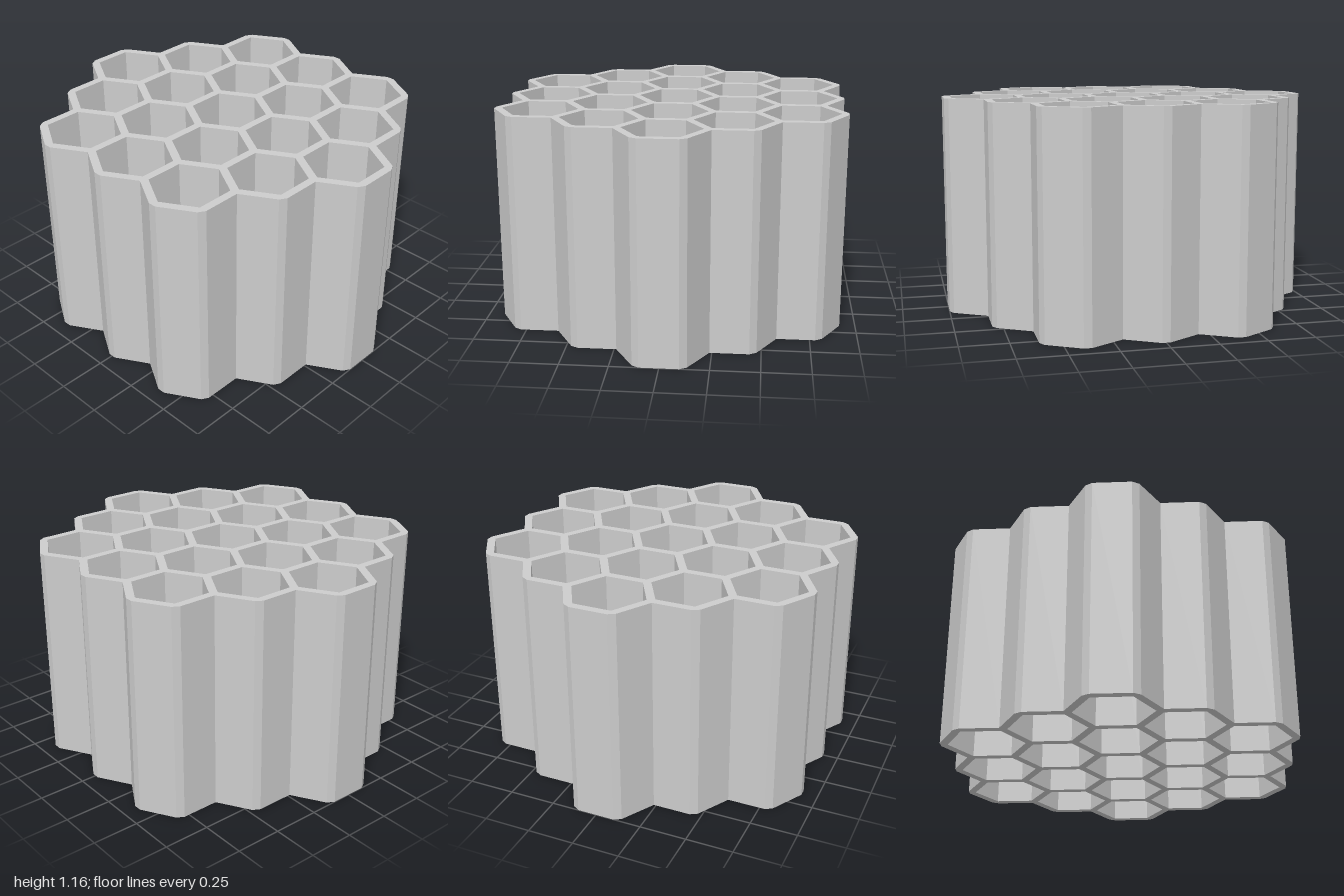
import * as THREE from 'three';

const HEIGHT = 1.16;
const WALL = 0.042;                    // wall thickness
const PITCH = (2 - WALL) / 5;          // distance between cell centres
const RADIUS = PITCH / Math.sqrt(3);   // centre to corner on the wall midlines
const RINGS = 2;                       // rings of cells around the middle one

const polar = (length, degrees) =>
  new THREE.Vector2(length, 0).rotateAround(new THREE.Vector2(), THREE.MathUtils.degToRad(degrees));

// Outline of the whole block: one sixth, repeated around the centre
function outlinePoints() {
  const cornerCell = polar(RINGS * PITCH, 0);
  const points = [];
  for (let k = 0; k < 6; k++) {
    const add = (p) => points.push(p.rotateAround(new THREE.Vector2(), k * Math.PI / 3));
    // free corner, cut flat to the wall thickness
    const freeCorner = (cell, angle) => {
      const tip = cell.clone().add(polar(RADIUS + WALL / (2 * Math.sqrt(3)), angle));
      add(tip.clone().add(polar(WALL / 2, angle - 90)));
      add(tip.clone().add(polar(WALL / 2, angle + 90)));
    };
    // inward corner where two neighbouring cells meet
    const valley = (cell) =>
      add(cell.clone().add(polar(RADIUS, 90)).add(polar(WALL / Math.sqrt(3), 30)));

    freeCorner(cornerCell, -30);
    for (let i = 0; i < RINGS; i++) {
      const cell = cornerCell.clone().add(polar(i * PITCH, 120));
      freeCorner(cell, 30);
      valley(cell);
    }
  }
  return points;
}

// Hexagonal opening of one cell
function cellOpening(centre) {
  const points = [];
  for (let k = 0; k < 6; k++) {
    points.push(centre.clone().add(polar((PITCH - WALL) / Math.sqrt(3), 30 - 60 * k)));
  }
  return new THREE.Path(points);
}

export function createModel() {
  const group = new THREE.Group();
  group.name = 'honeycomb';

  const shape = new THREE.Shape(outlinePoints());
  for (let q = -RINGS; q <= RINGS; q++) {
    for (let r = -RINGS; r <= RINGS; r++) {
      if (Math.abs(q + r) > RINGS) continue;
      shape.holes.push(cellOpening(polar(q * PITCH, 0).add(polar(r * PITCH, 60))));
    }
  }

  const geometry = new THREE.ExtrudeGeometry(shape, { depth: HEIGHT, bevelEnabled: false });
  geometry.rotateX(-Math.PI / 2);

  const walls = new THREE.Mesh(
    geometry,
    new THREE.MeshStandardMaterial({ color: 0xcccccc, flatShading: true })
  );
  walls.name = 'cellWalls';
  group.add(walls);
  return group;
}
